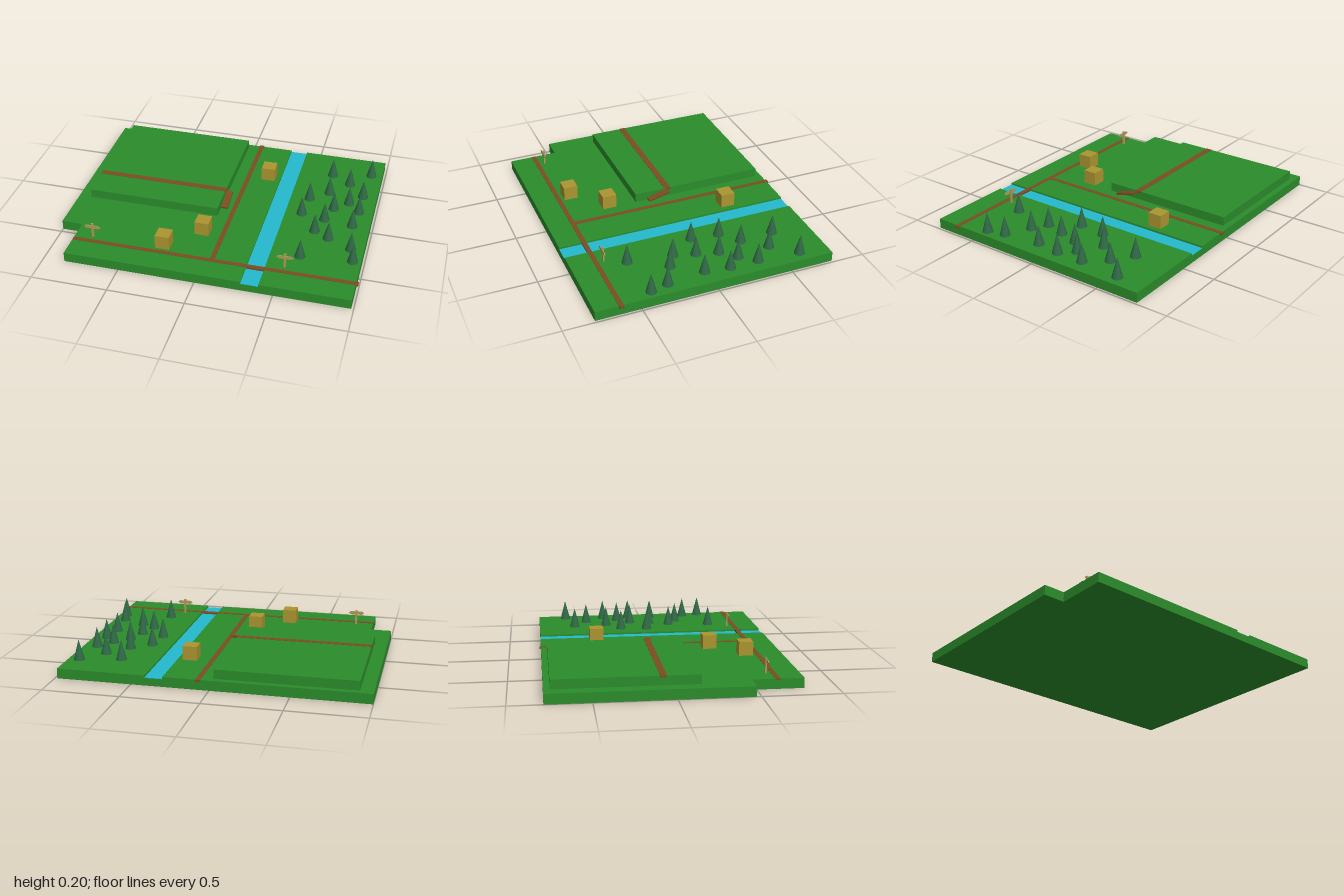
import * as THREE from 'three';

const GROUND = 0.065, PLATEAU = 0.125;

const mat = (color) => new THREE.MeshStandardMaterial({ color });

export function createModel() {
  const root = new THREE.Group();
  const grass = mat(0x2b8c2b), dirt = mat(0x7c4c22), water = mat(0x24b9cd);
  const straw = mat(0xab9530), pine = mat(0x2f6845), wood = mat(0xb09a58);

  const add = (name, geometry, material, parent = root) => {
    const mesh = new THREE.Mesh(geometry, material);
    mesh.name = name;
    parent.add(mesh);
    return mesh;
  };

  // Box given by its minimum and maximum corners
  const box = (name, material, [x0, y0, z0], [x1, y1, z1], parent) => {
    const g = new THREE.BoxGeometry(x1 - x0, y1 - y0, z1 - z0);
    g.translate((x0 + x1) / 2, (y0 + y1) / 2, (z0 + z1) / 2);
    return add(name, g, material, parent);
  };

  // Left bank with its notched front corner
  const outline = [[-1, -0.785], [0.295, -0.785], [0.295, 0.795],
    [-0.86, 0.795], [-0.86, 0.47], [-1, 0.47]];
  const bank = new THREE.Shape(outline.map(([x, z]) => new THREE.Vector2(x, -z)));
  const bankGeo = new THREE.ExtrudeGeometry(bank, { depth: GROUND, bevelEnabled: false });
  bankGeo.rotateX(-Math.PI / 2);
  add('westBank', bankGeo, grass);

  // Right bank and the sunken river between the two
  box('eastBank', grass, [0.41, 0, -0.785], [0.985, GROUND, 0.795]);
  box('riverBed', grass, [0.295, 0, -0.785], [0.41, 0.05, 0.795]);
  box('riverWater', water, [0.295, 0.05, -0.785], [0.41, 0.053, 0.795]);

  // Raised field
  box('plateau', grass, [-0.915, GROUND, -0.745], [-0.02, PLATEAU, 0.155]);

  // Dirt roads; the front one bridges the river
  box('frontRoad', dirt, [-0.86, 0.055, 0.615], [1, 0.067, 0.645]);
  box('crossRoad', dirt, [0.055, 0.055, -0.795], [0.085, 0.067, 0.615]);
  box('plateauRoad', dirt, [-0.917, 0.115, -0.096], [-0.015, 0.127, -0.054]);

  // Ramp down from the raised field, sloping towards the front
  const rampSide = new THREE.Shape([[0.07, 0.125], [-0.075, 0.086], [-0.073, 0.074], [0.07, 0.112]]
    .map(([z, y]) => new THREE.Vector2(z, y)));
  const rampGeo = new THREE.ExtrudeGeometry(rampSide, { depth: 0.045, bevelEnabled: false });
  rampGeo.rotateY(Math.PI / 2).translate(-0.015, 0, 0);
  add('ramp', rampGeo, dirt);

  // Block houses
  for (const [x, z] of [[0.212, -0.4], [-0.064, 0.342], [-0.268, 0.548]]) {
    box('house', straw, [x - 0.047, GROUND, z - 0.047], [x + 0.047, 0.158, z + 0.047]);
  }

  // Signposts with a board pointed at both ends
  const boardShape = new THREE.Shape([[-0.055, 0], [-0.04, -0.011], [0.04, -0.011],
    [0.055, 0], [0.04, 0.011], [-0.04, 0.011]].map(([x, y]) => new THREE.Vector2(x, y)));
  const boardGeo = new THREE.ExtrudeGeometry(boardShape, { depth: 0.006, bevelEnabled: false });
  for (const x of [-0.74, 0.53]) {
    const sign = new THREE.Group();
    sign.name = 'signpost';
    sign.position.set(x, GROUND, 0.581);
    box('post', wood, [-0.007, 0, -0.005], [0.007, 0.103, 0.005], sign);
    add('board', boardGeo, wood, sign).position.set(0, 0.08, 0.003);
    root.add(sign);
  }

  // Pine forest on the right bank
  const cone = new THREE.ConeGeometry(0.035, 0.135, 24);
  cone.translate(0, 0.0675, 0);
  const trees = [[0.645, -0.53], [0.91, -0.59], [0.78, -0.44], [0.66, -0.3], [0.89, -0.31],
    [0.54, -0.2], [0.81, -0.21], [0.72, -0.12], [0.89, -0.12], [0.52, -0.015], [0.68, 0.02],
    [0.87, 0.045], [0.64, 0.16], [0.74, 0.22], [0.9, 0.3], [0.93, 0.42], [0.6, 0.45]];
  for (const [x, z] of trees) add('tree', cone, pine).position.set(x, GROUND, z);

  return root;
}
